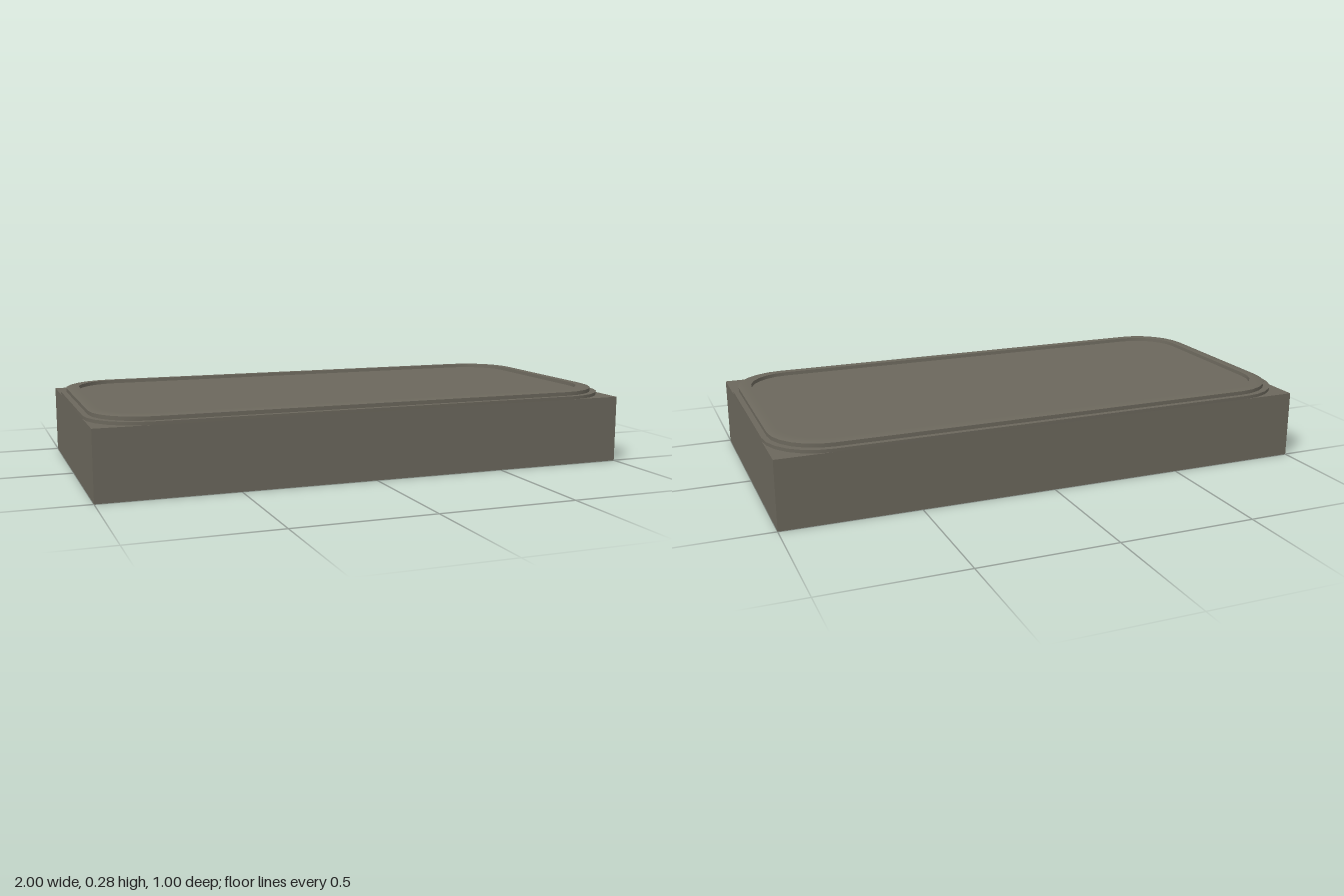
import * as THREE from 'three';
import { toCreasedNormals } from 'three/addons/utils/BufferGeometryUtils.js';

const HALF_X = 1, HALF_Z = 0.5, WALL_TOP = 0.25, ARC_STEPS = 6;

// Rounded rectangle as [x, z] points, counterclockwise seen from above
function roundedRect(inset, radius) {
  const points = [];
  const cx = HALF_X - inset - radius, cz = HALF_Z - inset - radius;
  const corners = [[1, 1], [-1, 1], [-1, -1], [1, -1]];
  corners.forEach(([sx, sz], quarter) => {
    for (let i = 0; i <= ARC_STEPS; i++) {
      const a = (quarter + i / ARC_STEPS) * Math.PI / 2;
      points.push(new THREE.Vector2(sx * cx + radius * Math.cos(a), sz * cz + radius * Math.sin(a)));
    }
  });
  return points;
}

// Skin between stacked rounded rectangles, each given as [inset, radius, y]
function loft(profile) {
  const rings = profile.map(([inset, radius, y]) =>
    roundedRect(inset, radius).map(p => [p.x, y, -p.y]));
  const n = rings[0].length;
  const index = [];
  for (let r = 0; r < rings.length - 1; r++) {
    for (let i = 0; i < n; i++) {
      const j = (i + 1) % n;
      const a = r * n + i, b = r * n + j;
      index.push(a, b, b + n, a, b + n, a + n);
    }
  }
  const geometry = new THREE.BufferGeometry();
  geometry.setAttribute('position', new THREE.Float32BufferAttribute(rings.flat(2), 3));
  geometry.setIndex(index);
  return toCreasedNormals(geometry, 0.4);
}

export function createModel() {
  const group = new THREE.Group();
  const material = new THREE.MeshStandardMaterial({ color: 0x6b675c, side: THREE.DoubleSide });
  material.name = 'warm grey';

  const add = (name, geometry) => {
    const mesh = new THREE.Mesh(geometry, material);
    mesh.name = name;
    group.add(mesh);
    return mesh;
  };

  // Four thin walls, open underneath
  for (const side of [1, -1]) {
    const long = add(side > 0 ? 'frontWall' : 'backWall', new THREE.PlaneGeometry(2 * HALF_X, WALL_TOP));
    long.position.set(0, WALL_TOP / 2, side * HALF_Z);
    long.rotation.y = side > 0 ? 0 : Math.PI;
    const short = add(side > 0 ? 'leftWall' : 'rightWall', new THREE.PlaneGeometry(2 * HALF_Z, WALL_TOP));
    short.position.set(side * HALF_X, WALL_TOP / 2, 0);
    short.rotation.y = side * Math.PI / 2;
  }

  // Flat corner plates outside the rounded rim
  for (const sx of [1, -1]) {
    for (const sz of [1, -1]) {
      const shape = new THREE.Shape();
      shape.moveTo(sx * HALF_X, sz * HALF_Z);
      for (let i = 0; i <= ARC_STEPS; i++) {
        const a = i / ARC_STEPS * Math.PI / 2;
        shape.lineTo(sx * (0.8 + 0.2 * Math.cos(a)), sz * (0.3 + 0.2 * Math.sin(a)));
      }
      const plate = add('cornerPlate', new THREE.ShapeGeometry(shape));
      plate.rotation.x = -Math.PI / 2;
      plate.position.y = WALL_TOP;
    }
  }

  // Stepped rim: low ledge, raised lip, bevel, then down into the recess
  add('rim', loft([
    [0, 0.2, WALL_TOP],
    [0, 0.2, 0.262],
    [0.02, 0.19, 0.262],
    [0.02, 0.19, 0.276],
    [0.028, 0.185, 0.279],
    [0.045, 0.18, 0.281],
    [0.066, 0.165, 0.281],
    [0.068, 0.163, 0.268],
  ]));

  // Recessed top panel
  const panel = add('topPanel', new THREE.ShapeGeometry(new THREE.Shape(roundedRect(0.068, 0.163))));
  panel.rotation.x = -Math.PI / 2;
  panel.position.y = 0.268;

  return group;
}
